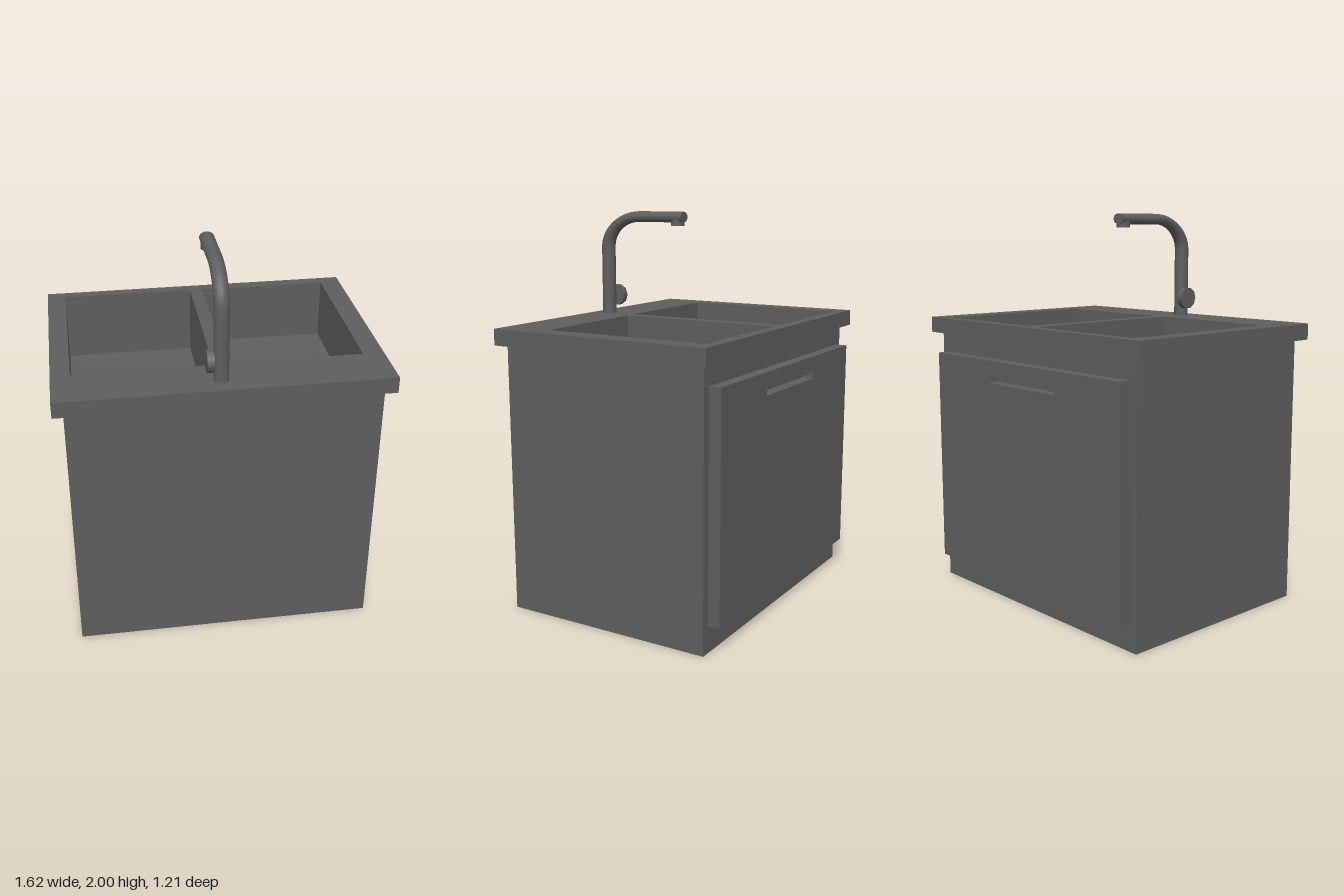
import * as THREE from 'three';

const material = new THREE.MeshStandardMaterial({ color: 0x5e5e5e, side: THREE.DoubleSide });

function add(parent, name, geometry, x = 0, y = 0, z = 0) {
  const mesh = new THREE.Mesh(geometry, material);
  mesh.name = name;
  mesh.position.set(x, y, z);
  parent.add(mesh);
  return mesh;
}

// Rectangle outline between two corners
function rect(Type, x0, y0, x1, y1) {
  const p = new Type();
  p.moveTo(x0, y0).lineTo(x1, y0).lineTo(x1, y1).lineTo(x0, y1).closePath();
  return p;
}

const COUNTER_TOP = 1.45;
const COUNTER_BOTTOM = 1.368;
const BASINS = [
  { name: 'rightBasin', x0: -0.717, x1: -0.035, z0: -0.527, z1: 0.355, depth: 0.36, drain: [-0.38, -0.09, 0.093] },
  { name: 'leftBasin', x0: 0.033, x1: 0.705, z0: -0.522, z1: 0.348, depth: 0.32, drain: [0.365, -0.09, 0.082] },
];

// Plan-view shapes use (x, -z), then lie down flat
const layFlat = (geometry) => geometry.rotateX(-Math.PI / 2);

function makeBasin({ name, x0, x1, z0, z1, depth, drain: [dx, dz, r] }) {
  const basin = new THREE.Group();
  basin.name = name;
  const floorY = COUNTER_TOP - depth;
  const w = x1 - x0, d = z1 - z0, h = depth - 0.001;
  const cx = (x0 + x1) / 2, cz = (z0 + z1) / 2, cy = floorY + h / 2;

  // Four walls facing inward
  [[w, cx, z0, 0], [w, cx, z1, Math.PI], [d, x0, cz, Math.PI / 2], [d, x1, cz, -Math.PI / 2]]
    .forEach(([width, x, z, turn]) => {
      add(basin, 'basinWall', new THREE.PlaneGeometry(width, h), x, cy, z).rotation.y = turn;
    });

  // Floor falling gently to an eight-sided drain
  const outline = rect(THREE.Shape, x0, -z1, x1, -z0);
  const ring = Array.from({ length: 8 }, (_, i) => {
    const a = 0.1 - (i * Math.PI) / 4;
    return new THREE.Vector2(dx + r * Math.cos(a), -dz + r * Math.sin(a));
  });
  outline.holes.push(new THREE.Path(ring));
  const floor = layFlat(new THREE.ShapeGeometry(outline));
  const p = floor.attributes.position;
  for (let i = 0; i < p.count; i++) {
    if (Math.hypot(p.getX(i) - dx, p.getZ(i) - dz) < r * 1.1) p.setY(i, -0.03);
  }
  floor.computeVertexNormals();
  add(basin, 'basinFloor', floor, 0, floorY, 0);

  // Drain sunk below the floor
  const cup = new THREE.ExtrudeGeometry(new THREE.Shape(ring), { depth: 0.02, bevelEnabled: false });
  const position = cup.attributes.position, normal = cup.attributes.normal;
  const kept = [];
  for (let i = 0; i < position.count; i++) {
    if (normal.getZ(i) < 0.5) kept.push(i);
  }
  cup.setIndex(kept);
  add(basin, 'drain', layFlat(cup), 0, floorY - 0.05, 0);
  return basin;
}

function makeTap() {
  const tap = new THREE.Group();
  tap.name = 'tap';
  tap.position.x = -0.021;
  const v = (y, z) => new THREE.Vector3(0, y, z);

  // Upright, bend and spout
  const spoutY = 1.972, radius = 0.037, rings = 40, sides = 16;
  const path = new THREE.CurvePath();
  path.add(new THREE.LineCurve3(v(COUNTER_TOP, 0.505), v(1.81, 0.505)));
  path.add(new THREE.CubicBezierCurve3(v(1.81, 0.505), v(1.89, 0.505), v(spoutY, 0.42), v(spoutY, 0.3)));
  path.add(new THREE.LineCurve3(v(spoutY, 0.3), v(spoutY, 0.03)));
  const pipe = new THREE.TubeGeometry(path, rings, radius, sides, false);

  // The pipe flattens through the bend, keeping its width
  const p = pipe.attributes.position;
  for (let i = 0; i < p.count; i++) {
    const centre = path.getPointAt(Math.floor(i / (sides + 1)) / rings);
    const squash = 1 - 0.25 * THREE.MathUtils.smoothstep(centre.y, 1.81, spoutY);
    p.setY(i, centre.y + (p.getY(i) - centre.y) * squash);
    p.setZ(i, centre.z + (p.getZ(i) - centre.z) * squash);
  }
  add(tap, 'pipe', pipe);
  const end = new THREE.CircleGeometry(radius, sides).scale(1, 0.75, 1).rotateY(Math.PI);
  add(tap, 'pipeEnd', end, 0, spoutY, 0.03);
  add(tap, 'nozzle', new THREE.CylinderGeometry(0.035, 0.035, 0.04, sides), 0, 1.948, 0.066);

  // Side knob against the pipe
  const knob = new THREE.CylinderGeometry(0.057, 0.057, 0.034, 10).rotateZ(Math.PI / 2);
  add(tap, 'knob', knob, -0.052, 1.547, 0.49);
  return tap;
}

export function createModel() {
  const model = new THREE.Group();
  model.name = 'sinkCabinet';

  // Cabinet shell, open underneath
  const shell = rect(THREE.Shape, -0.76, -0.567, 0.758, 0.543).getPoints();
  const cabinet = new THREE.Group();
  cabinet.name = 'cabinet';
  model.add(cabinet);
  for (let i = 0; i < 4; i++) {
    const a = shell[i], b = shell[(i + 1) % 4];
    const wall = add(cabinet, 'cabinetWall', new THREE.PlaneGeometry(a.distanceTo(b), COUNTER_BOTTOM),
      (a.x + b.x) / 2, COUNTER_BOTTOM / 2, -(a.y + b.y) / 2);
    wall.rotation.y = Math.atan2(b.y - a.y, b.x - a.x);
  }

  // Counter with two basin openings
  const top = rect(THREE.Shape, -0.812, -0.605, 0.81, 0.582);
  BASINS.forEach((b) => top.holes.push(rect(THREE.Path, b.x0, -b.z1, b.x1, -b.z0)));
  const counter = new THREE.ExtrudeGeometry(top, { depth: COUNTER_TOP - COUNTER_BOTTOM, bevelEnabled: false });
  add(model, 'counter', layFlat(counter), 0, COUNTER_BOTTOM, 0);
  BASINS.forEach((b) => model.add(makeBasin(b)));

  // Rear door with a slot for the fingers
  const panel = rect(THREE.Shape, -0.715, 0.135, 0.715, 1.265);
  panel.holes.push(rect(THREE.Path, -0.265, 1.15, 0.265, 1.185));
  add(model, 'door', new THREE.ExtrudeGeometry(panel, { depth: 0.061, bevelEnabled: false }), 0, 0, -0.605);

  model.add(makeTap());
  return model;
}
